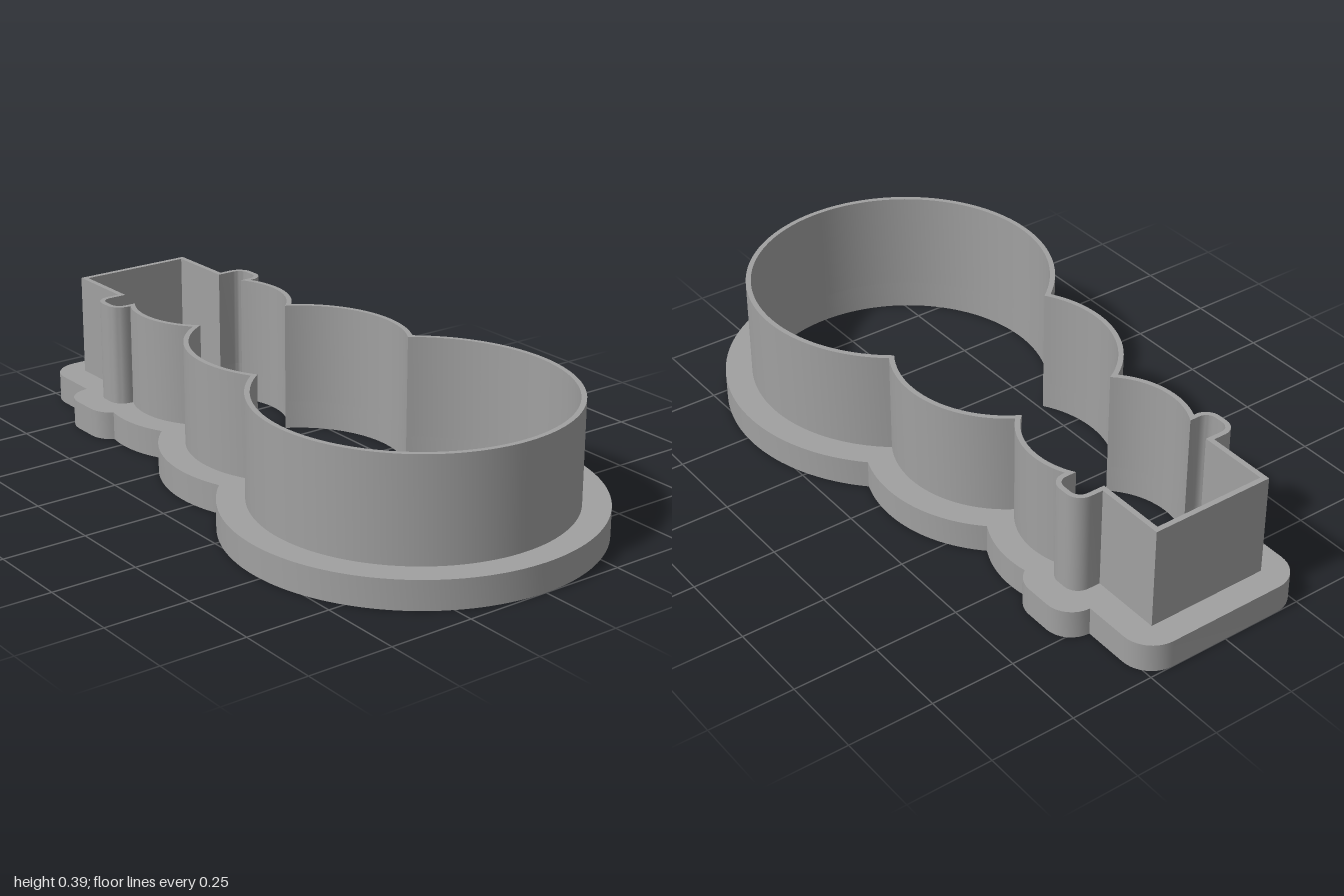
import * as THREE from 'three';
import { toCreasedNormals } from 'three/addons/utils/BufferGeometryUtils.js';

// Circle centres along the length (shape y = -z)
const BASE = -0.468, MIDDLE = 0.05, HEAD = 0.49;

// Points of an arc
function arc(cx, cy, r, a0, a1, n) {
  return Array.from({ length: n + 1 }, (_, i) => {
    const a = a0 + (a1 - a0) * i / n;
    return new THREE.Vector2(cx + r * Math.cos(a), cy + r * Math.sin(a));
  });
}

// Right-hand part of a circle on the centre line, between two heights
function bulge(c, r, y0, y1, n) {
  const angle = y => Math.asin(THREE.MathUtils.clamp((y - c) / r, -1, 1));
  return arc(0, c, r, angle(y0), angle(y1), n);
}

// Height at which two circles on the centre line cross
const crossing = (c1, r1, c2, r2) => (r1 * r1 - r2 * r2 + c2 * c2 - c1 * c1) / (2 * (c2 - c1));

// Closed snowman outline: three bulges, hat brim and hat, mirrored
function outline({ base, middle, head, neck, brimX, brimLow, brimHigh, brimR, brimStart, hatX, hatTop, hatR }) {
  const waist = crossing(BASE, base, MIDDLE, middle);
  const chest = crossing(MIDDLE, middle, HEAD, head);
  const half = [
    ...bulge(BASE, base, BASE - base, waist, 48),
    ...bulge(MIDDLE, middle, waist, chest, 24).slice(1),
    ...bulge(HEAD, head, chest, neck, 16).slice(1),
    ...arc(brimX - brimR, brimLow + brimR, brimR, brimStart, 0, 8),
    ...arc(brimX - brimR, brimHigh - brimR, brimR, 0, Math.PI / 2, 8),
  ];
  if (hatX < brimX - brimR - 0.001) half.push(new THREE.Vector2(hatX, brimHigh));
  if (hatR) half.push(...arc(hatX - hatR, hatTop - hatR, hatR, 0, Math.PI / 2, 10));
  else half.push(new THREE.Vector2(hatX, hatTop));
  const mirrored = half.slice(1).reverse().map(p => new THREE.Vector2(-p.x, p.y));
  return [...half, ...mirrored];
}

const inner = outline({
  base: 0.438, middle: 0.311, head: 0.226, neck: 0.608,
  brimX: 0.255, brimLow: 0.608, brimHigh: 0.695, brimR: 0.03, brimStart: -Math.PI / 2,
  hatX: 0.171, hatTop: 0.906, hatR: 0,
});
const wallOuter = outline({
  base: 0.453, middle: 0.326, head: 0.241, neck: 0.593,
  brimX: 0.27, brimLow: 0.593, brimHigh: 0.71, brimR: 0.045, brimStart: -Math.PI / 2,
  hatX: 0.187, hatTop: 0.922, hatR: 0,
});
const flangeOuter = outline({
  base: 0.532, middle: 0.404, head: 0.318, neck: 0.551,
  brimX: 0.35, brimLow: 0.54, brimHigh: 0.775, brimR: 0.08, brimStart: -1.01,
  hatX: 0.27, hatTop: 1, hatR: 0.09,
});

// Upright ring between an outer outline and the shared inner one
function ring(name, outer, y0, y1, material) {
  const shape = new THREE.Shape(outer);
  shape.holes.push(new THREE.Path(inner));
  const geometry = new THREE.ExtrudeGeometry(shape, { depth: y1 - y0, bevelEnabled: false });
  geometry.rotateX(-Math.PI / 2).translate(0, y0, 0);
  const mesh = new THREE.Mesh(toCreasedNormals(geometry, 0.4), material);
  mesh.name = name;
  return mesh;
}

export function createModel() {
  const grey = new THREE.MeshStandardMaterial({ color: 0xa0a0a0 });
  grey.name = 'grey plastic';
  const group = new THREE.Group();
  group.name = 'snowmanCookieCutter';
  group.add(
    ring('flange', flangeOuter, 0, 0.085, grey),
    ring('cuttingWall', wallOuter, 0.085, 0.388, grey),
  );
  return group;
}
